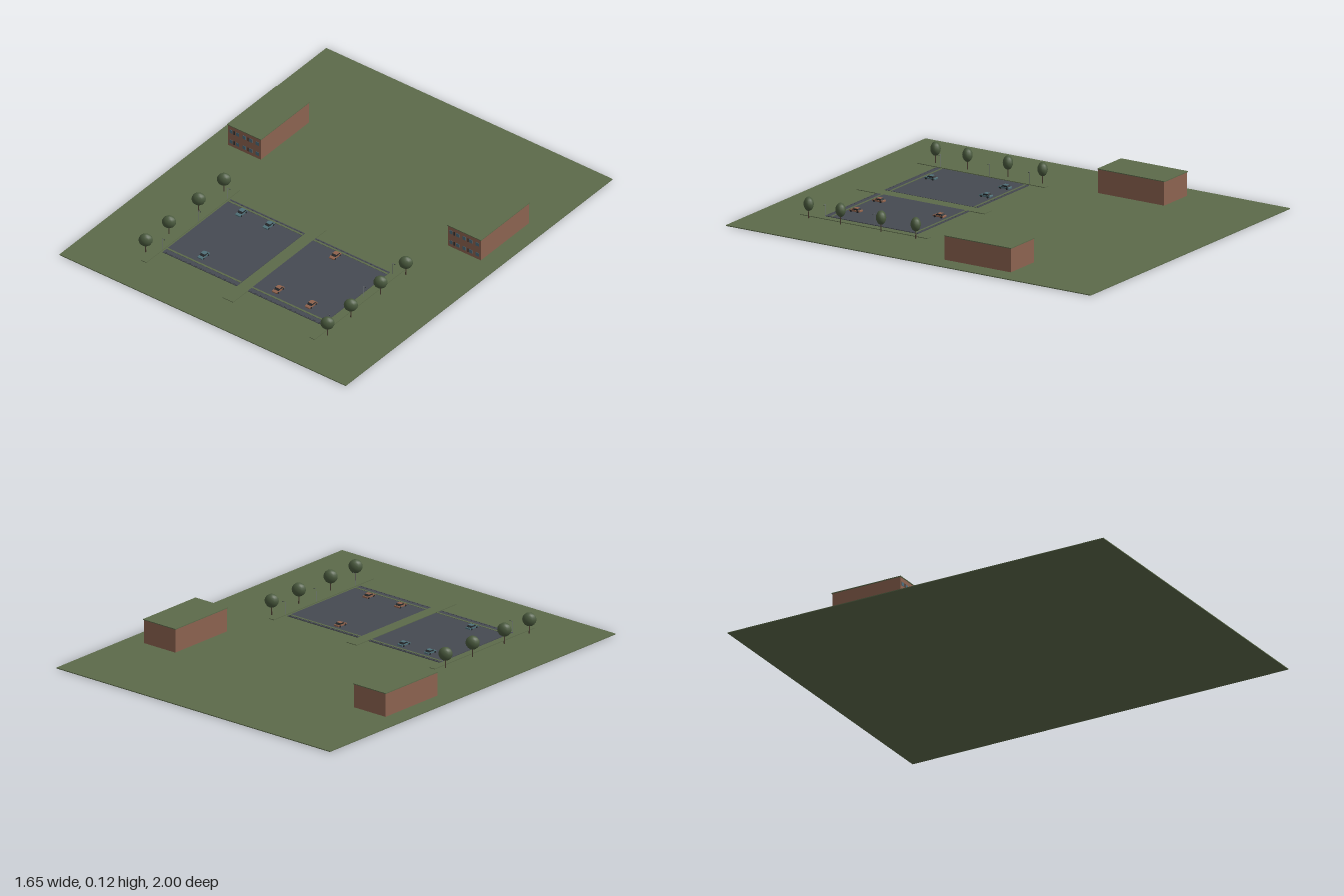
import * as THREE from 'three';

const mat = (name, color) => {
  const m = new THREE.MeshStandardMaterial({ color });
  m.name = name;
  return m;
};

export function createModel() {
  const grass = mat('grass green', 0x5c6a4a);
  const brick = mat('brick brown', 0x8c6350);
  const asphalt = mat('asphalt grey', 0x464a52);
  const leaf = mat('leaf green', 0x4a5a3e);
  const bark = mat('bark brown', 0x4a3d31);
  const blue = mat('window blue', 0x4d6c7c);
  const dark = mat('dark trim', 0x25282b);
  const teal = mat('teal paint', 0x4f7078);
  const rust = mat('rust paint', 0x8f624c);
  const steel = mat('steel grey', 0x6d7276);

  const model = new THREE.Group();
  model.name = 'parkingSite';

  const add = (parent, name, geometry, material, x, y, z) => {
    const mesh = new THREE.Mesh(geometry, material);
    mesh.name = name;
    mesh.position.set(x, y, z);
    parent.add(mesh);
    return mesh;
  };
  const box = (parent, name, material, w, h, d, x, y, z) =>
    add(parent, name, new THREE.BoxGeometry(w, h, d), material, x, y, z);
  const group = (name, x, y, z) => {
    const g = new THREE.Group();
    g.name = name;
    g.position.set(x, y, z);
    model.add(g);
    return g;
  };

  // Ground slab
  const top = 0.004;
  box(model, 'ground', grass, 1.65, top, 2, 0, top / 2, 0);

  // Parking lots with verge strips and bay dividers at both ends
  for (const cx of [-0.247, 0.243]) {
    const lot = group('parkingLot', cx, 0, 0.445);
    box(lot, 'paving', asphalt, 0.427, 0.003, 0.51, 0, 0.0055, 0);
    for (const z of [-0.238, 0.222]) {
      box(lot, 'verge', grass, 0.427, 0.001, 0.01, 0, 0.0075, z);
    }
    for (const s of [-1, 1]) {
      for (let i = 0; i < 15; i++) {
        box(lot, 'wheelStop', asphalt, 0.016, 0.002, 0.004, -0.196 + i * 0.028, 0.0078, s * 0.249);
      }
    }
  }

  // Low grass walks between and beside the lots
  box(model, 'centreWalk', grass, 0.06, 0.003, 0.7, 0, 0.0055, 0.46);
  for (const s of [-1, 1]) {
    box(model, 'sideWalk', grass, 0.03, 0.003, 0.7, s * 0.485, 0.0055, 0.46);
  }

  // Brick buildings: plain walls, flat roof, windows and door at the front
  for (const s of [-1, 1]) {
    const b = group('building', s * 0.634, top, -0.318);
    box(b, 'walls', brick, 0.19, 0.113, 0.362, 0, 0.0565, 0);
    box(b, 'roof', grass, 0.196, 0.004, 0.368, 0, 0.115, 0);
    for (const y of [0.026, 0.083]) {
      for (let i = 0; i < 5; i++) {
        const x = -0.076 + i * 0.038;
        box(b, 'window', blue, 0.018, 0.018, 0.002, x, y, 0.1815);
      }
      for (const x of [-0.057, 0.022]) {
        box(b, 'darkOpening', dark, 0.006, 0.02, 0.002, x, y, 0.1815);
      }
    }
  }

  // Trees with slightly flattened crowns
  const crownGeo = new THREE.SphereGeometry(1, 12, 8);
  const trunkGeo = new THREE.CylinderGeometry(0.002, 0.003, 0.045, 6);
  for (const s of [-1, 1]) {
    for (const z of [0.158, 0.348, 0.57, 0.745]) {
      const tree = group('tree', s * 0.524, top, z);
      add(tree, 'trunk', trunkGeo, bark, 0, 0.0225, 0);
      const crown = add(tree, 'crown', crownGeo, leaf, 0, 0.069, 0);
      crown.scale.set(0.033, 0.033, 0.024);
      crown.rotation.y = 0.6;
    }
  }

  // Lamp posts with a short arm
  for (const s of [-1, 1]) {
    for (const z of [0.195, 0.415, 0.685]) {
      const lamp = group('lampPost', s * 0.475, top, z);
      add(lamp, 'post', new THREE.CylinderGeometry(0.001, 0.0012, 0.064, 6), steel, 0, 0.032, 0);
      box(lamp, 'arm', steel, 0.014, 0.0012, 0.0012, 0.007, 0.0635, 0);
      box(lamp, 'lampHead', dark, 0.005, 0.002, 0.003, 0.014, 0.0625, 0);
    }
  }

  // Cars: extruded side outlines, length along z
  const outline = (points, width) => {
    const shape = new THREE.Shape(points.map(([x, y]) => new THREE.Vector2(x, y)));
    const g = new THREE.ExtrudeGeometry(shape, { depth: width, bevelEnabled: false });
    g.translate(0, 0, -width / 2);
    g.rotateY(-Math.PI / 2);
    return g;
  };
  const bodyGeo = outline(
    [[-0.029, 0.004], [0.029, 0.004], [0.029, 0.009], [0.018, 0.012], [-0.027, 0.012], [-0.029, 0.01]], 0.028);
  const glassGeo = outline([[-0.023, 0.012], [0.015, 0.012], [0.006, 0.019], [-0.015, 0.019]], 0.024);
  const wheelGeo = new THREE.CylinderGeometry(0.005, 0.005, 0.004, 10);
  wheelGeo.rotateZ(Math.PI / 2);
  const cars = [
    [-0.353, 0.25, teal], [-0.195, 0.25, teal], [-0.29, 0.615, teal],
    [0.188, 0.25, rust], [0.14, 0.615, rust], [0.33, 0.615, rust],
  ];
  for (const [x, z, paint] of cars) {
    const car = group('car', x, 0.007, z);
    add(car, 'body', bodyGeo, paint, 0, 0, 0);
    add(car, 'cabinGlass', glassGeo, dark, 0, 0, 0);
    box(car, 'carRoof', paint, 0.024, 0.001, 0.021, 0, 0.0195, -0.0045);
    for (const sx of [-1, 1]) {
      for (const wz of [-0.018, 0.018]) add(car, 'wheel', wheelGeo, dark, sx * 0.013, 0.005, wz);
    }
  }

  return model;
}
